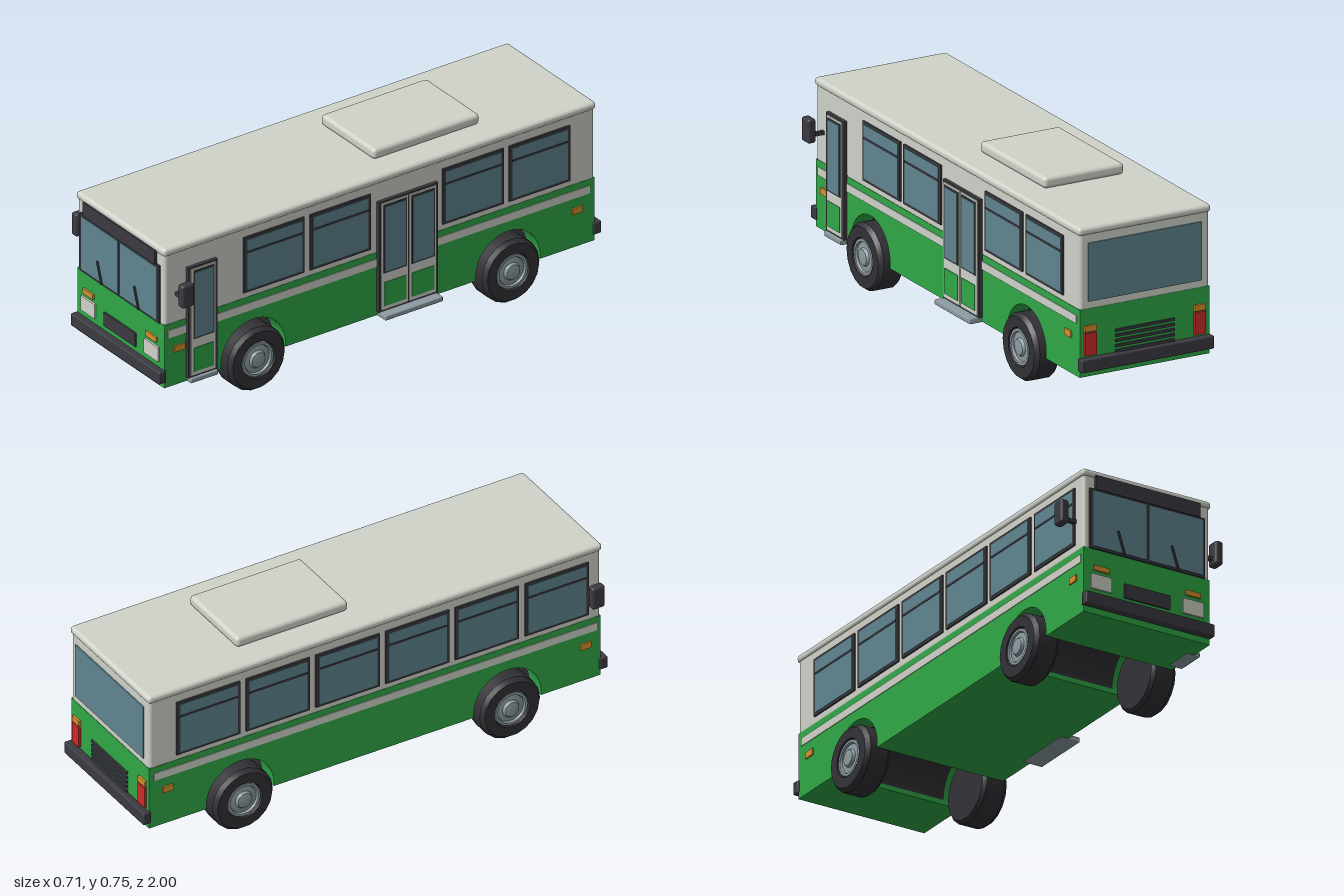
import * as THREE from 'three';
import { toCreasedNormals } from 'three/addons/utils/BufferGeometryUtils.js';
import { RoundedBoxGeometry } from 'three/addons/geometries/RoundedBoxGeometry.js';

function material(name, color, side = THREE.FrontSide) {
  const m = new THREE.MeshStandardMaterial({ color, side });
  m.name = name;
  return m;
}

export function createModel() {
  const green = material('greenPaint', 0x2fa847);
  const cream = material('creamPaint', 0xd0d3c9);
  const trim = material('darkTrim', 0x3b3a41);
  const rubber = material('tyreRubber', 0x323136, THREE.DoubleSide);
  const glass = material('windowGlass', 0x608590);
  const metal = material('metal', 0x8d9ca2);
  const amber = material('amberLamp', 0xd8922c);
  const red = material('redLamp', 0xcc2c2a);

  const bus = new THREE.Group();
  bus.name = 'bus';

  function add(name, geometry, mat, parent = bus) {
    const mesh = new THREE.Mesh(geometry, mat);
    mesh.name = name;
    parent.add(mesh);
    return mesh;
  }
  // Box given by its extents; a radius rounds its edges
  function box(name, mat, [x0, x1], [y0, y1], [z0, z1], radius = 0, parent = bus) {
    const w = Math.abs(x1 - x0), h = Math.abs(y1 - y0), d = Math.abs(z1 - z0);
    const geometry = radius ? new RoundedBoxGeometry(w, h, d, 2, radius) : new THREE.BoxGeometry(w, h, d);
    const mesh = add(name, geometry, mat, parent);
    mesh.position.set((x0 + x1) / 2, (y0 + y1) / 2, (z0 + z1) / 2);
    return mesh;
  }

  const axles = [-0.58, 0.57];
  const archRadius = 0.145, archY = 0.143, floorY = 0.125;

  // Lower body: side outline with wheel arches, extruded across the width
  const side = new THREE.Shape();
  side.moveTo(-0.972, floorY);
  for (const z of axles) {
    side.lineTo(z - archRadius, floorY);
    side.absarc(z, archY, archRadius, Math.PI, 0, true);
    side.lineTo(z + archRadius, floorY);
  }
  side.lineTo(0.972, floorY);
  side.lineTo(0.972, 0.388);
  side.lineTo(-0.972, 0.388);
  side.closePath();
  const lower = new THREE.ExtrudeGeometry(side, { depth: 0.55, bevelEnabled: false, curveSegments: 20 });
  lower.translate(0, 0, -0.275).rotateY(-Math.PI / 2);
  add('lowerBody', toCreasedNormals(lower, 0.5), green);

  // Upper body, roof and roof unit
  box('upperBody', cream, [-0.275, 0.275], [0.38, 0.695], [-0.972, 0.972], 0.014);
  box('roof', cream, [-0.281, 0.281], [0.675, 0.707], [-0.977, 0.977], 0.014);
  box('roofUnit', cream, [-0.17, 0.17], [0.705, 0.75], [-0.53, -0.05], 0.016);

  // Dark liners between the wheels
  for (const z of axles) {
    const liner = new THREE.CylinderGeometry(archRadius - 0.002, archRadius - 0.002, 0.4, 20, 1, true, 0, Math.PI);
    liner.rotateZ(Math.PI / 2);
    add('archLiner', liner, rubber).position.set(0, archY, z);
  }

  // Wheels
  const points = (list) => list.map(([r, y]) => new THREE.Vector2(r, y));
  const tyre = toCreasedNormals(new THREE.LatheGeometry(points([
    [0, -0.053], [0.118, -0.053], [0.13, -0.04], [0.13, 0.036], [0.117, 0.053],
    [0.076, 0.053], [0.071, 0.035], [0, 0.035]]), 18), 0.5);
  const hub = toCreasedNormals(new THREE.LatheGeometry(points([
    [0.072, 0.036], [0.07, 0.05], [0.06, 0.05], [0.056, 0.042], [0.036, 0.044],
    [0.03, 0.054], [0, 0.058]]), 18), 0.5);
  for (const z of axles) for (const s of [-1, 1]) {
    const wheel = new THREE.Group();
    wheel.name = 'wheel';
    wheel.position.set(s * 0.256, 0.131, z);
    wheel.rotation.z = -s * Math.PI / 2;
    add('tyre', tyre, rubber, wheel);
    add('hub', hub, metal, wheel);
    bus.add(wheel);
  }

  // Side windows: six on one side, four beside the doors on the other
  function sideWindow(s, z) {
    const g = new THREE.Group();
    g.name = 'sideWindow';
    bus.add(g);
    box('windowFrame', trim, [s * 0.27, s * 0.282], [0.413, 0.645], [z - 0.137, z + 0.137], 0, g);
    box('windowPane', glass, [s * 0.281, s * 0.284], [0.424, 0.634], [z - 0.125, z + 0.125], 0, g);
    box('windowBar', trim, [s * 0.283, s * 0.286], [0.578, 0.586], [z - 0.125, z + 0.125], 0, g);
  }
  for (const z of [-0.72, -0.42, -0.12, 0.18, 0.48, 0.78]) sideWindow(-1, z);
  for (const z of [-0.72, -0.42, 0.18, 0.48]) sideWindow(1, z);

  // Side stripes, marker lamps and mirrors
  for (const s of [-1, 1]) {
    box('sideStripe', cream, [s * 0.272, s * 0.278], [0.33, 0.362], [-0.95, 0.955]);
    for (const z of [-0.892, 0.905])
      box('sideMarker', amber, [s * 0.272, s * 0.282], [0.265, 0.29], [z - 0.023, z + 0.023]);
    box('mirrorArm', trim, [s * 0.265, s * 0.33], [0.5, 0.515], [0.908, 0.923]);
    box('mirror', trim, [s * 0.32, s * 0.354], [0.481, 0.576], [0.89, 0.945], 0.01);
  }

  // Doors: dark surround, cream leaves with a pane and a green panel, and a step
  function door(z0, z1, leaves, stepX) {
    const g = new THREE.Group();
    g.name = 'door';
    bus.add(g);
    box('doorFrame', trim, [0.27, 0.289], [0.14, 0.603], [z0, z1], 0, g);
    const inner = 0.008, w = (z1 - z0 - 2 * inner) / leaves;
    for (let i = 0; i < leaves; i++) {
      const a = z0 + inner + i * w + 0.002, b = a + w - 0.004;
      box('doorLeaf', cream, [0.285, 0.293], [0.148, 0.596], [a, b], 0, g);
      box('paneSurround', trim, [0.291, 0.295], [0.302, 0.588], [a + 0.009, b - 0.009], 0, g);
      box('doorPane', glass, [0.293, 0.297], [0.309, 0.581], [a + 0.015, b - 0.015], 0, g);
      box('doorPanel', green, [0.291, 0.296], [0.165, 0.264], [a + 0.012, b - 0.012], 0, g);
    }
    box('doorStep', metal, [0.245, stepX], [0.122, 0.142], [z0 + 0.004, z1 - 0.004], 0.004, g);
  }
  door(0.741, 0.873, 1, 0.3);
  door(-0.255, 0.013, 2, 0.327);

  // Windscreen, sign and wipers
  box('windscreenFrame', trim, [-0.251, 0.251], [0.388, 0.63], [0.965, 0.979]);
  box('destinationSign', trim, [-0.228, 0.228], [0.628, 0.685], [0.965, 0.983]);
  for (const s of [-1, 1])
    box('windscreenPane', glass, [s * 0.006, s * 0.24], [0.397, 0.62], [0.977, 0.982]);
  for (const x of [-0.118, 0.116]) {
    const wiper = box('wiper', trim, [x - 0.004, x + 0.004], [0.392, 0.482], [0.981, 0.988]);
    wiper.rotation.z = 0.31;
  }

  // Front lamps and grille
  box('frontGrille', trim, [-0.099, 0.099], [0.222, 0.279], [0.965, 0.979]);
  for (const s of [-1, 1]) {
    box('headlamp', cream, [s * 0.156, s * 0.245], [0.225, 0.285], [0.965, 0.98]);
    box('frontIndicator', amber, [s * 0.167, s * 0.233], [0.301, 0.321], [0.965, 0.98]);
  }

  // Rear window, lamps and vents
  box('rearWindow', glass, [-0.24, 0.24], [0.417, 0.645], [-0.977, -0.97]);
  for (const s of [-1, 1]) {
    box('tailLamp', red, [s * 0.208, s * 0.256], [0.208, 0.295], [-0.981, -0.97]);
    box('rearIndicator', amber, [s * 0.208, s * 0.256], [0.301, 0.324], [-0.981, -0.97]);
  }
  for (let i = 0; i < 5; i++) {
    const y = 0.205 + i * 0.02;
    box('rearVent', trim, [-0.125, 0.125], [y - 0.005, y + 0.005], [-0.979, -0.97]);
  }

  // Bumpers
  for (const s of [-1, 1])
    box('bumper', trim, [-0.281, 0.281], [0.15, 0.2], [s * 0.965, s * 1], 0.005);

  return bus;
}
